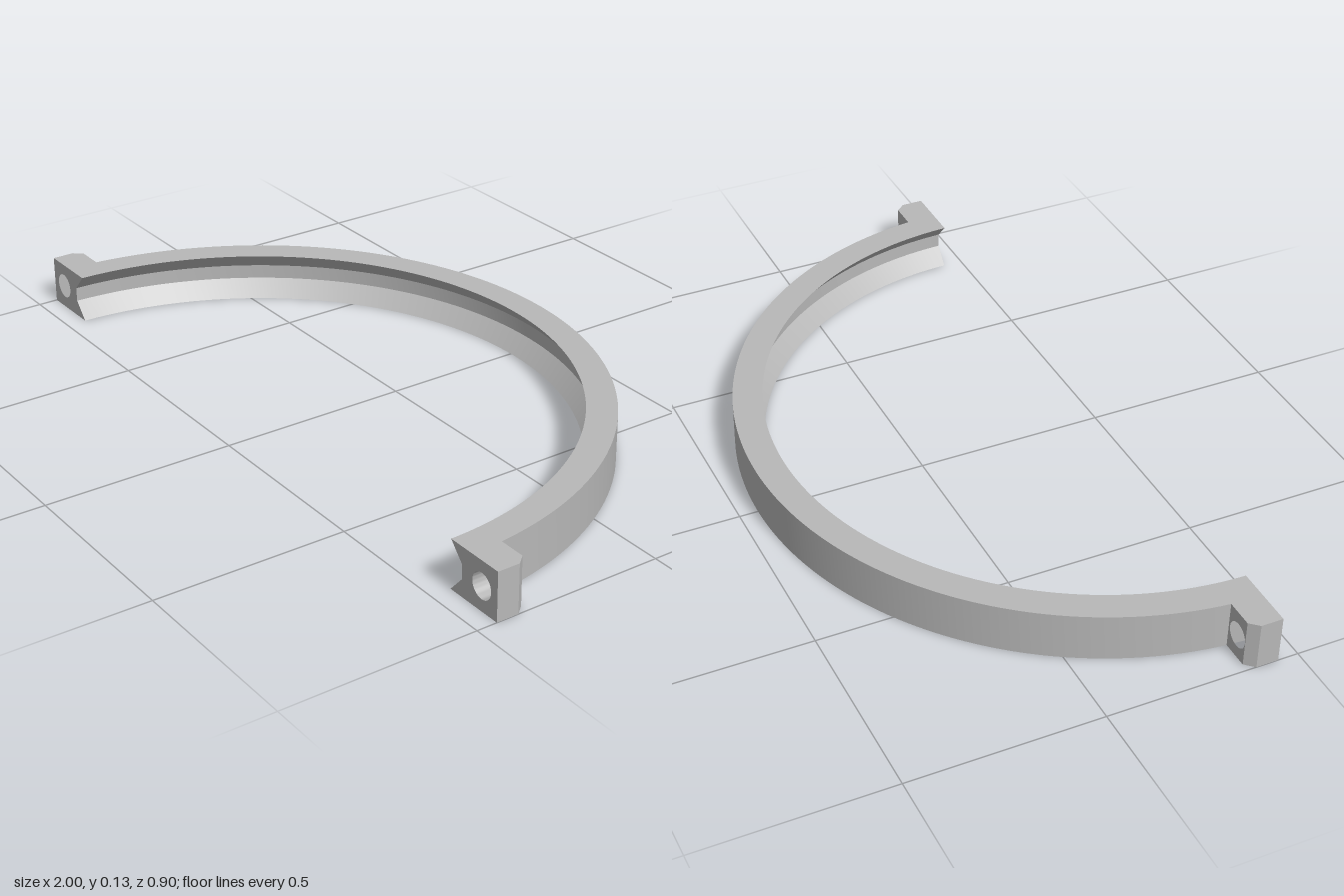
import * as THREE from 'three';
import { toCreasedNormals } from 'three/addons/utils/BufferGeometryUtils.js';

const H = 0.127;         // height of the clamp
const MID = H / 2;
const FRONT = 0.447;     // flat mating face
const BACK = 0.365;      // rear of the lugs
const CENTRE = 0.461;    // z of the ring axis
const R_OUT = 0.912, R_IN = 0.835, R_GROOVE = 0.875;
const GROOVE_HALF = 0.019;
const CHAMFER_X = 0.979;

// Closed cross-section (radius, height), with a flat-bottomed V groove inside
const PROFILE = [
  [R_OUT, 0], [R_OUT, H], [R_IN, H],
  [R_GROOVE, MID + GROOVE_HALF], [R_GROOVE, MID - GROOVE_HALF], [R_IN, 0],
].map(([r, y]) => new THREE.Vector2(r, y));

export function createModel() {
  const group = new THREE.Group();
  const grey = new THREE.MeshStandardMaterial({ color: 0xb8b8b8 });
  grey.name = 'plain grey';

  const add = (name, geometry) => {
    const mesh = new THREE.Mesh(geometry, grey);
    mesh.name = name;
    group.add(mesh);
    return mesh;
  };

  // Half ring, its two ends trimmed to the mating plane
  const ring = new THREE.LatheGeometry([...PROFILE, PROFILE[0].clone()], 96, Math.PI / 2, Math.PI);
  const p = ring.attributes.position;
  for (let i = 0; i < p.count; i++) {
    p.setZ(i, Math.min(p.getZ(i), FRONT - CENTRE));
  }
  add('halfRing', toCreasedNormals(ring, 0.5)).position.z = CENTRE;

  for (const s of [1, -1]) {
    const side = s > 0 ? 'left' : 'right';

    // End face of the ring
    const cap = new THREE.Shape(PROFILE.map((v) => new THREE.Vector2(s * v.x, v.y)));
    add(side + 'EndFace', new THREE.ShapeGeometry(cap)).position.z = FRONT;

    // Lug with a bolt hole
    const lug = new THREE.Shape([
      [0.906, 0], [CHAMFER_X, 0], [CHAMFER_X, H], [0.906, H],
    ].map(([x, y]) => new THREE.Vector2(s * x, y)));
    lug.holes.push(new THREE.Path().absarc(s * 0.945, MID, 0.033, 0, Math.PI * 2, true));
    const lugGeometry = new THREE.ExtrudeGeometry(lug, {
      depth: FRONT - BACK, bevelEnabled: false, curveSegments: 20,
    });
    add(side + 'Lug', toCreasedNormals(lugGeometry, 0.5)).position.z = BACK;

    // Outer edge of the lug, chamfered at the back
    const edge = new THREE.Shape([
      [CHAMFER_X, FRONT], [1, FRONT], [1, 0.389], [CHAMFER_X, BACK],
    ].map(([x, z]) => new THREE.Vector2(s * x, -z)));
    const edgeGeometry = new THREE.ExtrudeGeometry(edge, { depth: H, bevelEnabled: false });
    add(side + 'LugEdge', edgeGeometry.rotateX(-Math.PI / 2));
  }
  return group;
}
